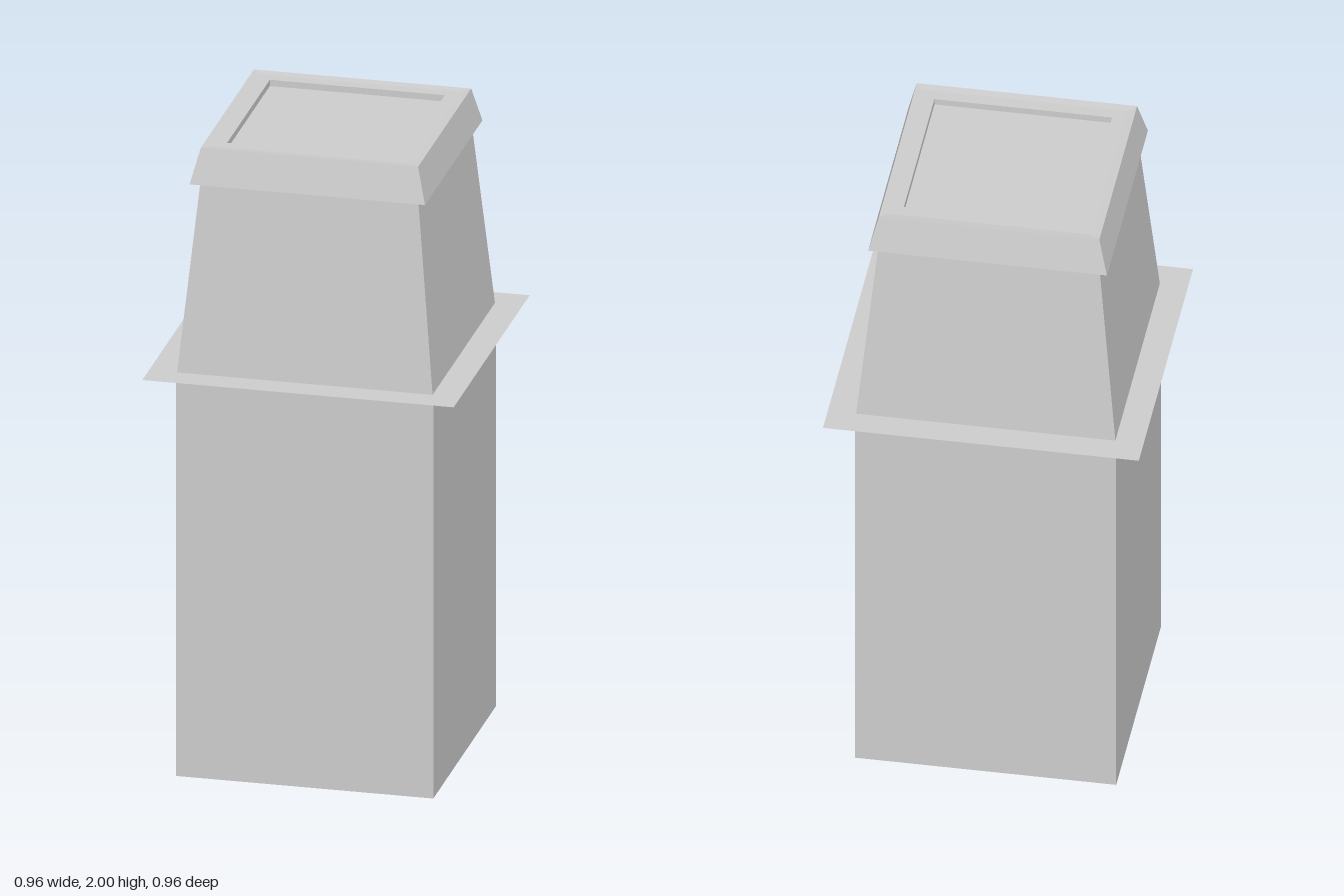
import * as THREE from 'three';

const grey = new THREE.MeshStandardMaterial({ color: 0xcccccc, flatShading: true });
const thin = new THREE.MeshStandardMaterial({ color: 0xcccccc, flatShading: true, side: THREE.DoubleSide });

// Square-section solid from a profile of [half width, height], listed bottom to top
function squareLathe(name, profile, material = grey) {
  const points = profile.map(([half, y]) => new THREE.Vector2(half * Math.SQRT2, y));
  const geometry = new THREE.LatheGeometry(points, 4).rotateY(Math.PI / 4).toNonIndexed();
  geometry.computeVertexNormals();
  const mesh = new THREE.Mesh(geometry, material);
  mesh.name = name;
  return mesh;
}

export function createModel() {
  const model = new THREE.Group();
  model.name = 'squareBin';
  const flangeY = 1.295;

  model.add(
    // Straight lower box with a closed floor
    squareLathe('lowerBody', [[0, 0], [0.397, 0], [0.397, flangeY]]),
    // Paper-thin flange around the middle
    squareLathe('flange', [[0.48, flangeY], [0.39, flangeY]], thin),
    // Tapered upper housing
    squareLathe('upperBody', [[0.394, flangeY], [0.336, 1.89]]),
    // Overhanging cap: flat underside, sloped skirt, slightly dished rim, recessed panel
    squareLathe('cap', [
      [0.33, 1.89], [0.363, 1.89], [0.335, 2],
      [0.31, 1.997], [0.27, 1.997], [0.27, 1.977], [0, 1.977],
    ]),
  );
  return model;
}
